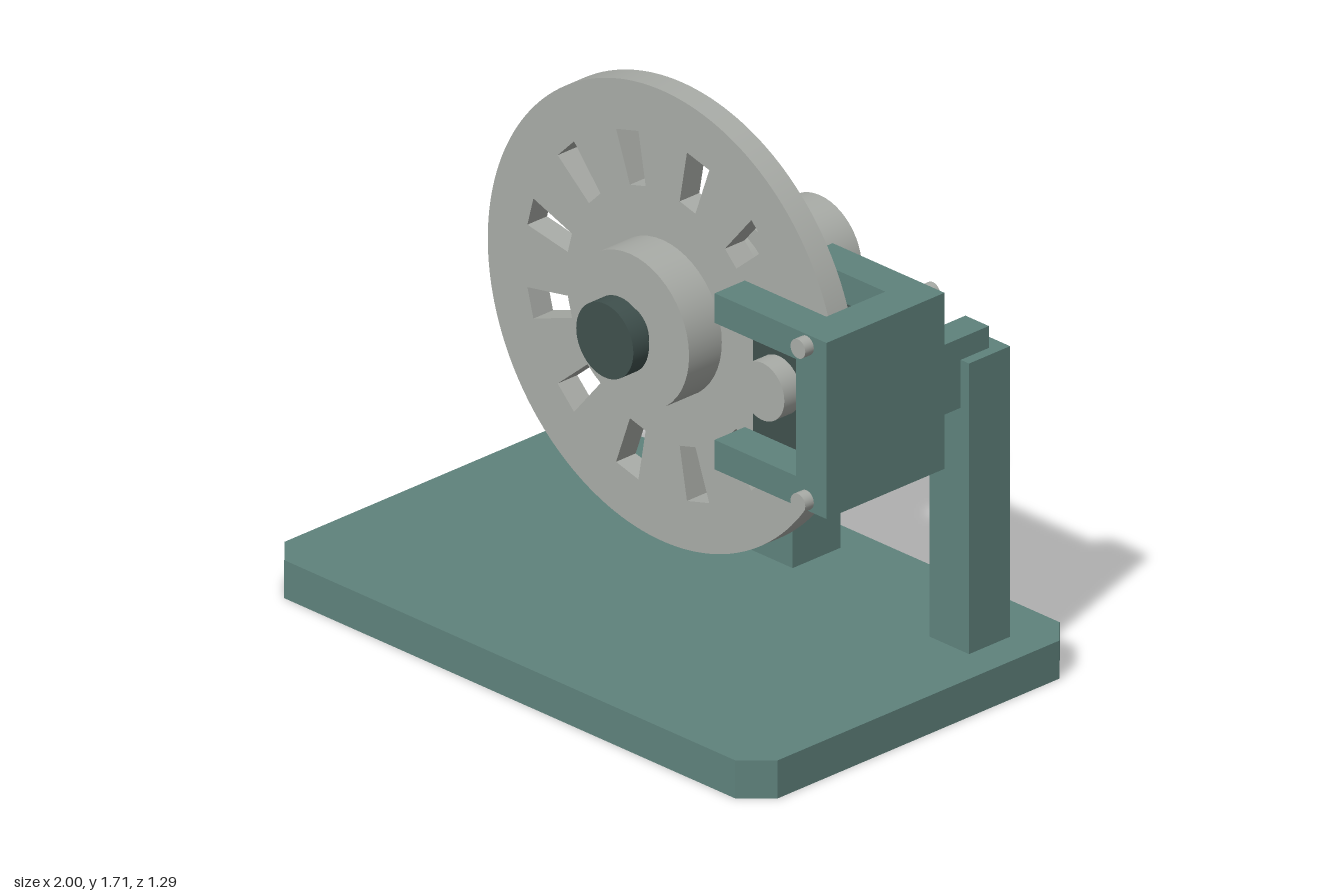
import * as THREE from 'three';
import { toCreasedNormals } from 'three/addons/utils/BufferGeometryUtils.js';

const teal = new THREE.MeshStandardMaterial({ color: 0x5f827c });
const metal = new THREE.MeshStandardMaterial({ color: 0xa9aca7 });
const dark = new THREE.MeshStandardMaterial({ color: 0x3f504d });

export function createModel() {
  const model = new THREE.Group();

  const add = (name, geometry, material, parent = model) => {
    const mesh = new THREE.Mesh(geometry, material);
    mesh.name = name;
    parent.add(mesh);
    return mesh;
  };
  // Box given by its limits on each axis
  const box = (name, material, [x0, x1], [y0, y1], [z0, z1], parent) => {
    const g = new THREE.BoxGeometry(x1 - x0, y1 - y0, z1 - z0);
    g.translate((x0 + x1) / 2, (y0 + y1) / 2, (z0 + z1) / 2);
    return add(name, g, material, parent);
  };
  // Cylinder lying along z
  const rod = (name, material, x, y, r, z0, z1, parent, sides = 48) => {
    const g = new THREE.CylinderGeometry(r, r, z1 - z0, sides);
    g.rotateX(Math.PI / 2).translate(x, y, (z0 + z1) / 2);
    return add(name, g, material, parent);
  };
  const outline = (pts) => new THREE.Shape(pts.map(([x, y]) => new THREE.Vector2(x, y)));
  const extrude = (shape, depth, curveSegments = 12) =>
    new THREE.ExtrudeGeometry(shape, { depth, bevelEnabled: false, curveSegments });

  // Base plate with clipped corners
  const W = 1, D = 0.645, c = 0.085;
  const plate = extrude(outline([
    [W, -D + c], [W, D - c], [W - c, D], [-W + c, D],
    [-W, D - c], [-W, -D + c], [-W + c, -D], [W - c, -D],
  ]), 0.12);
  add('basePlate', plate.rotateX(-Math.PI / 2), teal);

  // Brake disc with a ring of tapered slots
  const disc = new THREE.Shape().absarc(0, 0, 0.71, 0, Math.PI * 2);
  for (let i = 0; i < 12; i++) {
    const a = ((i + 0.5) * Math.PI) / 6;
    const at = (r, w) => new THREE.Vector2(
      r * Math.cos(a) - w * Math.sin(a), r * Math.sin(a) + w * Math.cos(a));
    disc.holes.push(new THREE.Path([
      at(0.39, -0.033), at(0.39, 0.033), at(0.556, 0.047), at(0.556, -0.047)]));
  }
  const discGeometry = extrude(disc, 0.078, 80).translate(0, 1, -0.041);
  add('brakeDisc', toCreasedNormals(discGeometry, 0.5), metal);

  // Axle, hub and rear bearing
  rod('hub', metal, 0, 1, 0.24, -0.187, 0.167);
  rod('axle', dark, 0, 1, 0.077, -0.625, 0.21);
  rod('axleCap', dark, 0, 1, 0.116, 0.205, 0.267);
  rod('bearingHousing', metal, 0, 1, 0.17, -0.588, -0.302);
  box('bearingPost', teal, [-0.132, 0.132], [0.12, 0.9], [-0.54, -0.35]);

  // Caliper: windowed front cheek, bridge and solid rear cheek
  const caliper = new THREE.Group();
  caliper.name = 'caliper';
  model.add(caliper);
  const cheek = extrude(outline([
    [0.412, 0.725], [0.866, 0.725], [0.866, 1.28], [0.412, 1.28],
    [0.412, 1.187], [0.743, 1.187], [0.743, 0.818], [0.412, 0.818],
  ]), 0.12);
  add('frontCheek', cheek.translate(0, 0, 0.114), teal, caliper);
  box('bridge', teal, [0.743, 0.866], [0.725, 1.28], [-0.12, 0.114], caliper);
  box('rearCheek', teal, [0.412, 0.866], [0.725, 1.28], [-0.235, -0.12], caliper);
  box('frontPad', dark, [0.445, 0.655], [0.818, 1.187], [0.05, 0.114], caliper);
  box('rearPad', dark, [0.445, 0.655], [0.818, 1.187], [-0.12, -0.055], caliper);
  rod('piston', metal, 0.55, 1, 0.09, 0.1, 0.18, caliper);
  for (const y of [0.758, 1.245]) {
    rod('frontBolt', metal, 0.785, y, 0.03, 0.22, 0.268, caliper, 24);
    rod('rearBolt', metal, 0.785, y, 0.03, -0.268, -0.22, caliper, 24);
  }

  // Caliper support
  box('caliperBracket', teal, [0.755, 0.85], [0.885, 1.105], [-0.427, -0.235]);
  box('caliperPost', teal, [0.723, 0.884], [0.12, 1.036], [-0.478, -0.315]);

  return model;
}
